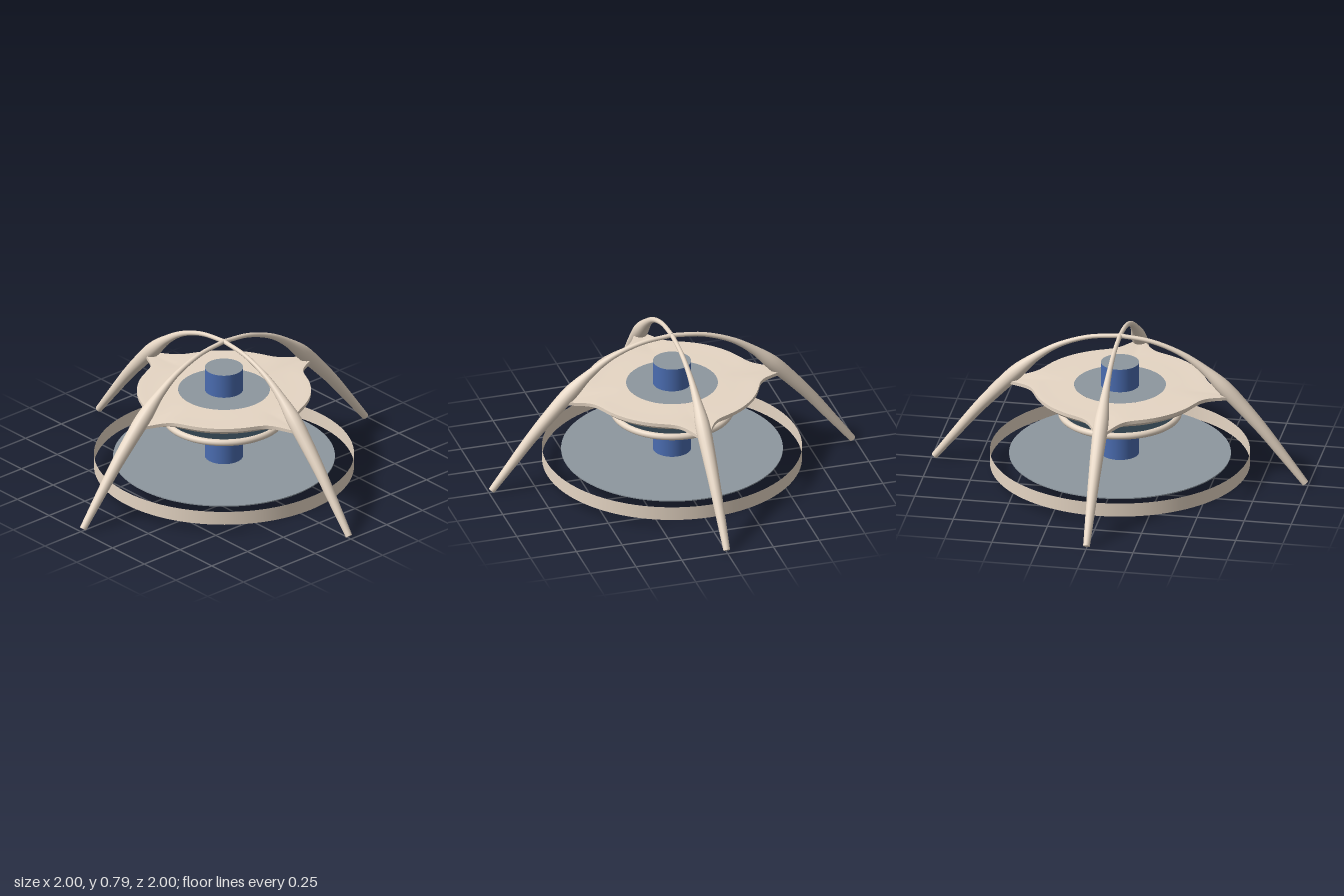
import * as THREE from 'three';
import { mergeVertices, toCreasedNormals } from 'three/addons/utils/BufferGeometryUtils.js';

const shell = new THREE.MeshStandardMaterial({ color: 0xe6d6c4 });
const shellOpen = new THREE.MeshStandardMaterial({ color: 0xe6d6c4, side: THREE.DoubleSide });
const glass = new THREE.MeshStandardMaterial({ color: 0x8d979f });
const band = new THREE.MeshStandardMaterial({ color: 0x5f7d92, side: THREE.DoubleSide });
const blue = new THREE.MeshStandardMaterial({ color: 0x4a6cb0 });

function add(parent, name, geometry, material, y = 0) {
  const mesh = new THREE.Mesh(geometry, material);
  mesh.name = name;
  mesh.position.y = y;
  parent.add(mesh);
  return mesh;
}

// Arched leg stations: x, y, radius
const LEG = [
  [0, 0.78, 0.012], [0.17, 0.759, 0.012], [0.33, 0.7, 0.015], [0.45, 0.62, 0.024],
  [0.55, 0.53, 0.039], [0.65, 0.425, 0.037], [0.76, 0.3, 0.031], [0.87, 0.16, 0.025],
  [0.985, 0.012, 0.018],
];

// Tube whose rings are scaled to follow the radius stations
function legGeometry(path) {
  const rows = 64, sides = 16;
  const radii = new THREE.CatmullRomCurve3(LEG.map(([, , r], i) => new THREE.Vector3(i, r, 0)));
  const geo = new THREE.TubeGeometry(path, rows, 1, sides);
  const pos = geo.attributes.position, v = new THREE.Vector3();
  for (let i = 0; i <= rows; i++) {
    const centre = path.getPointAt(i / rows);
    const r = radii.getPoint(path.getUtoTmapping(i / rows)).y;
    for (let j = 0; j <= sides; j++) {
      const k = i * (sides + 1) + j;
      v.fromBufferAttribute(pos, k).sub(centre).multiplyScalar(r).add(centre);
      pos.setXYZ(k, v.x, v.y, v.z);
    }
  }
  geo.deleteAttribute('uv');
  geo.deleteAttribute('normal');
  const merged = mergeVertices(geo, 1e-5);
  merged.computeVertexNormals();
  return merged;
}

// Saucer: round deck whose rim is drawn out into a neck toward each leg
function saucerGeometry() {
  const segments = 256, points = [], index = [];
  let rows = 0;
  for (let i = 0; i < segments; i++) {
    const a = (i / segments) * Math.PI * 2;
    const quarter = Math.PI / 2;
    const d = Math.abs(a - Math.round(a / quarter) * quarter);
    const pull = Math.exp(-Math.pow(d / 0.13, 1.5));
    const rim = Math.min(0.455 + 0.16 * pull, 0.585);
    const section = [
      [0.24, 0.5], [0.33, 0.499], [0.41, 0.497 - 0.004 * pull],
      [0.41 + (rim - 0.41) * 0.6, 0.498 - 0.008 * pull],
      [rim, 0.497 - 0.014 * pull],
      [rim, 0.478 - 0.012 * pull],
      [0.4 + (rim - 0.4) * 0.5, 0.455 + 0.006 * pull],
      [0.39, 0.436], [0.345, 0.418],
    ];
    rows = section.length;
    for (const [r, y] of section) points.push(r * Math.cos(a), y, r * Math.sin(a));
  }
  for (let i = 0; i < segments; i++) {
    const p = i * rows, q = ((i + 1) % segments) * rows;
    for (let j = 0; j < rows - 1; j++) {
      index.push(p + j, q + j, p + j + 1, q + j, q + j + 1, p + j + 1);
    }
  }
  const geo = new THREE.BufferGeometry();
  geo.setAttribute('position', new THREE.Float32BufferAttribute(points, 3));
  geo.setIndex(index);
  return toCreasedNormals(geo, 0.7);
}

export function createModel() {
  const model = new THREE.Group();
  model.name = 'station';

  // Four arched legs meeting at the crown
  const path = new THREE.CatmullRomCurve3(LEG.map(([x, y]) => new THREE.Vector3(x, y, 0)));
  const legGeo = legGeometry(path);
  const tip = path.getPointAt(1);
  for (let i = 0; i < 4; i++) {
    const leg = new THREE.Group();
    leg.name = 'leg' + (i + 1);
    add(leg, 'legArch', legGeo, shell);
    const foot = add(leg, 'legFoot', new THREE.CircleGeometry(0.018, 16), shell);
    foot.position.copy(tip);
    foot.lookAt(tip.clone().add(path.getTangentAt(1)));
    leg.rotation.y = (i * Math.PI) / 2;
    model.add(leg);
  }

  // Saucer with its round window, tapered band and lower ring
  add(model, 'saucer', saucerGeometry(), shellOpen);
  add(model, 'saucerWindow', new THREE.CircleGeometry(0.24, 64).rotateX(-Math.PI / 2), glass, 0.5);
  add(model, 'saucerBand', new THREE.CylinderGeometry(0.35, 0.295, 0.07, 96, 1, true), band, 0.385);
  add(model, 'lowerRing', new THREE.TorusGeometry(0.307, 0.018, 16, 96).rotateX(Math.PI / 2), shell, 0.342);
  add(model, 'saucerFloor', new THREE.CircleGeometry(0.3, 64).rotateX(Math.PI / 2), glass, 0.342);

  // Central column, blue wall with pale ends
  add(model, 'column', new THREE.CylinderGeometry(0.1, 0.1, 0.526, 48), [blue, glass, glass], 0.366);

  // Base disc floating inside an open hoop
  add(model, 'baseDisc', new THREE.CylinderGeometry(0.58, 0.58, 0.006, 96), glass, 0.108);
  add(model, 'baseHoop', new THREE.CylinderGeometry(0.68, 0.68, 0.075, 96, 1, true), shellOpen, 0.0875);

  return model;
}
